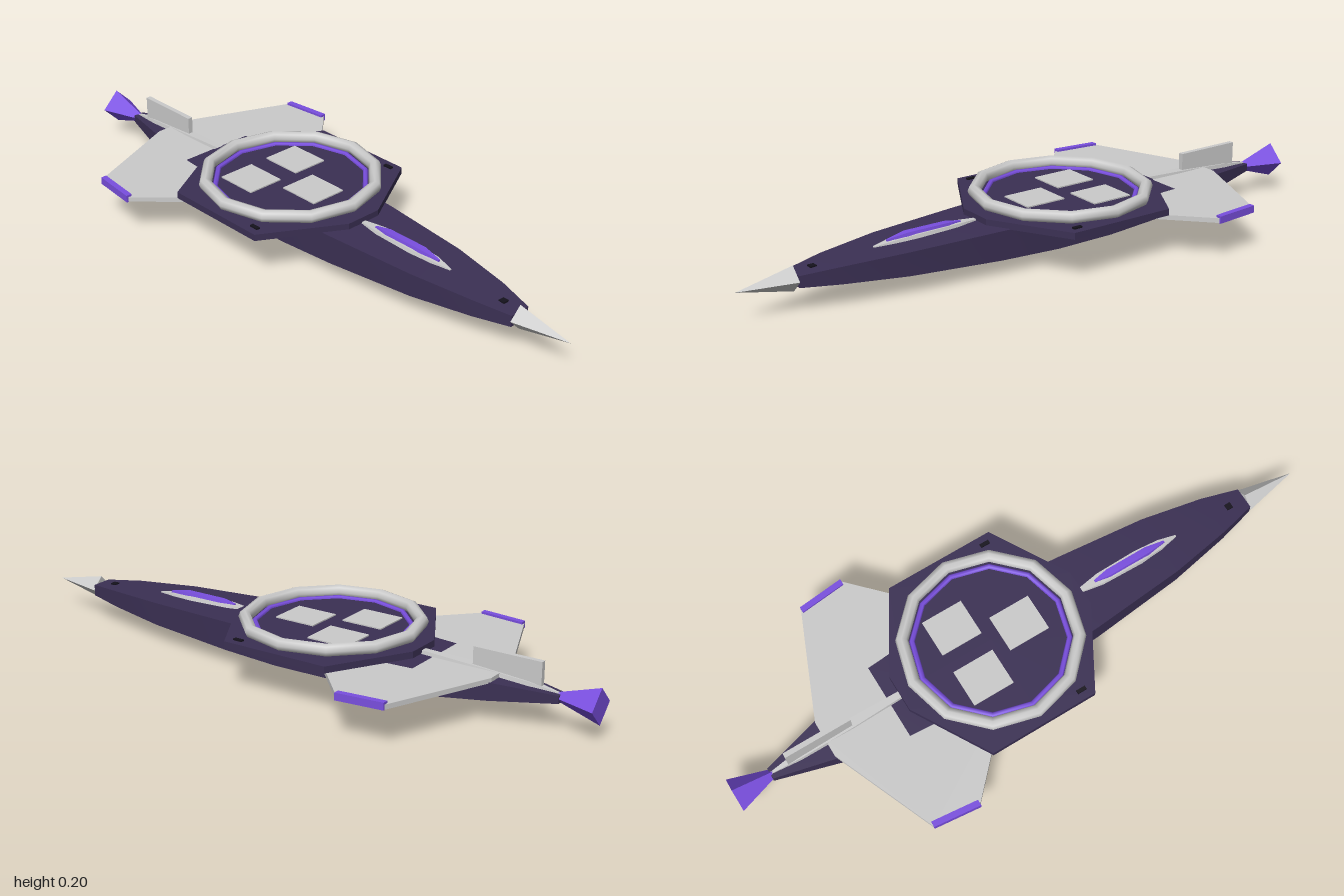
import * as THREE from 'three';
import { toCreasedNormals } from 'three/addons/utils/BufferGeometryUtils.js';

const material = (color, flatShading = false) => {
  const m = new THREE.MeshStandardMaterial({ color: 0xcccccc, flatShading });
  m.color.set(color);
  return m;
};

// Loft through sections [x, halfWidth, bottom, top]; topScale narrows the upper edge
function loft(sections, topScale = 1) {
  const pos = [], idx = [];
  for (const [x, w, y0, y1] of sections) {
    const t = w * topScale;
    pos.push(x, y0, w, x, y1, t, x, y1, -t, x, y0, -w);
  }
  for (let i = 0; i < sections.length - 1; i++) {
    for (let j = 0; j < 4; j++) {
      const a = i * 4 + j, b = i * 4 + (j + 1) % 4;
      idx.push(a, a + 4, b, b, a + 4, b + 4);
    }
  }
  const e = (sections.length - 1) * 4;
  idx.push(0, 1, 2, 0, 2, 3, e, e + 2, e + 1, e, e + 3, e + 2);
  const g = new THREE.BufferGeometry();
  g.setAttribute('position', new THREE.Float32BufferAttribute(pos, 3));
  g.setIndex(idx);
  return toCreasedNormals(g, 0.6);
}

// Horizontal slab from [x, z] outline points
function slab(points, y0, y1) {
  const shape = new THREE.Shape(points.map(([x, z]) => new THREE.Vector2(x, -z)));
  const g = new THREE.ExtrudeGeometry(shape, { depth: y1 - y0, bevelEnabled: false });
  return g.rotateX(-Math.PI / 2).translate(0, y0, 0);
}

export function createModel() {
  const group = new THREE.Group();
  const dark = material(0x3b3054), grey = material(0xcccccc);
  const purple = material(0x7a4fe0), black = material(0x15121c);
  const greyFlat = material(0xcccccc, true), purpleFlat = material(0x7a4fe0, true);

  const add = (name, geometry, mat, x = 0, y = 0, z = 0) => {
    const mesh = new THREE.Mesh(geometry, mat);
    mesh.name = name;
    mesh.position.set(x, y, z);
    group.add(mesh);
    return mesh;
  };
  const box = (name, w, h, d, mat, x, y, z) => add(name, new THREE.BoxGeometry(w, h, d), mat, x, y, z);

  // Tapered hull
  add('hull', loft([
    [-0.88, 0.018, 0.09, 0.114], [-0.68, 0.07, 0.07, 0.126], [-0.47, 0.125, 0.058, 0.138],
    [-0.2, 0.144, 0.049, 0.143], [0, 0.144, 0.047, 0.144], [0.2, 0.13, 0.05, 0.142],
    [0.5, 0.102, 0.062, 0.135], [0.7, 0.066, 0.073, 0.126], [0.82, 0.035, 0.08, 0.116],
  ]), dark);

  // Four-sided nose spike and flared engine nozzle
  const nose = new THREE.ConeGeometry(0.039, 0.18, 4).rotateZ(-Math.PI / 2);
  add('noseCone', nose, greyFlat, 0.91, 0.098, 0);
  const nozzle = new THREE.CylinderGeometry(0.014, 0.056, 0.13, 4).rotateZ(-Math.PI / 2);
  add('engineNozzle', nozzle, purpleFlat, -0.935, 0.104, 0);

  // Swept wings with coloured tips
  for (const s of [1, -1]) {
    const side = s > 0 ? 'left' : 'right';
    const mirror = (pts) => pts.map(([x, z]) => [x, z * s]);
    add(side + 'Wing', slab(mirror([
      [-0.69, 0], [-0.69, 0.06], [-0.55, 0.398], [-0.4, 0.412], [-0.16, 0.16], [-0.16, 0],
    ]), 0.123, 0.138), grey);
    add(side + 'WingTip', slab(mirror([
      [-0.55, 0.383], [-0.55, 0.402], [-0.4, 0.418], [-0.4, 0.399],
    ]), 0.122, 0.145), purple);
    // Small deck light
    box(side + 'DeckLight', 0.03, 0.006, 0.012, black, 0.035, 0.163, s * 0.278);
  }
  box('noseSensor', 0.02, 0.01, 0.02, black, 0.76, 0.12, 0);

  // Six-sided landing platform with trimmed ends
  const cx = -0.112;
  const half = [[0.178, 0.307], [0.32, 0.06], [0.32, -0.06], [0.178, -0.307]];
  const outline = [...half, ...half.map(([x, z]) => [-x, -z])].map(([x, z]) => [x + cx, z]);
  add('platform', slab(outline, 0.14, 0.161), dark);

  // Twelve-sided rim, accent ring and deck
  const rim = new THREE.TorusGeometry(0.268, 0.02, 8, 12).rotateX(Math.PI / 2);
  add('platformRim', rim, grey, cx, 0.178, 0);
  const accent = new THREE.TorusGeometry(0.238, 0.009, 6, 12).rotateX(Math.PI / 2);
  add('accentRing', accent, purple, cx, 0.164, 0);
  add('deck', new THREE.CylinderGeometry(0.236, 0.236, 0.006, 12), dark, cx, 0.162, 0);

  // Deck pads
  for (const [x, z] of [[-0.194, -0.093], [-0.194, 0.092], [-0.012, 0]]) {
    box('deckPad', 0.137, 0.006, 0.122, grey, x, 0.166, z);
  }

  // Cockpit fairing and glass
  add('cockpitFairing', loft([
    [0.2, 0.008, 0.13, 0.146], [0.28, 0.024, 0.13, 0.149], [0.42, 0.027, 0.125, 0.148],
    [0.5, 0.02, 0.12, 0.143], [0.56, 0.004, 0.12, 0.135],
  ], 0.75), grey);
  add('cockpitGlass', loft([
    [0.26, 0.005, 0.14, 0.151], [0.31, 0.016, 0.14, 0.157], [0.45, 0.016, 0.138, 0.157],
    [0.515, 0.004, 0.135, 0.147],
  ], 0.7), purple);

  // Rear spine, tail fin and keel
  add('spine', loft([
    [-0.88, 0.004, 0.1, 0.116], [-0.78, 0.018, 0.1, 0.132], [-0.6, 0.022, 0.11, 0.144],
    [-0.43, 0.015, 0.12, 0.15],
  ], 0.7), grey);
  box('tailFin', 0.22, 0.08, 0.016, grey, -0.71, 0.158, 0);
  box('keel', 0.44, 0.06, 0.016, grey, -0.22, 0.03, 0);

  return group;
}
